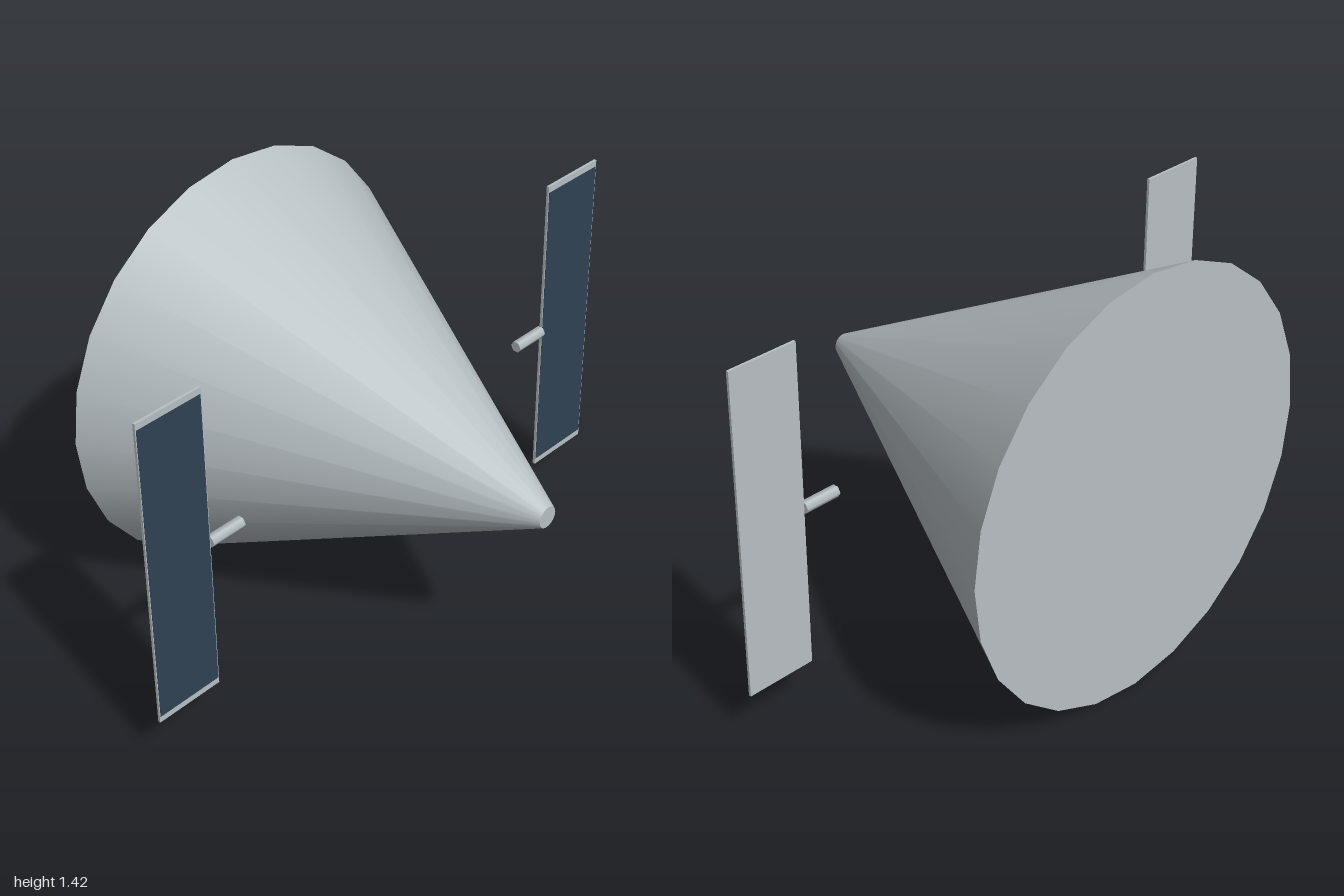
import * as THREE from 'three';

export function createModel() {
  const model = new THREE.Group();
  model.name = 'conicalSatellite';
  const hull = new THREE.MeshStandardMaterial({ name: 'hull grey', color: 0xb8c0c4 });
  const cells = new THREE.MeshStandardMaterial({ name: 'solar blue', color: 0x304154 });
  const midY = 0.716;

  function add(name, geometry, material, x, y, z) {
    const mesh = new THREE.Mesh(geometry, material);
    mesh.name = name;
    mesh.position.set(x, y, z);
    model.add(mesh);
  }

  // Blunt cone with its narrow end facing forward
  const cone = new THREE.CylinderGeometry(0.036, 0.712, 1.3, 24);
  cone.rotateX(Math.PI / 2);
  add('coneBody', cone, hull, 0, midY, 0);

  // Strut and solar wing on each side
  const strut = new THREE.CylinderGeometry(0.02, 0.02, 0.128, 6).rotateZ(Math.PI / 2);
  const frame = new THREE.BoxGeometry(0.243, 1.102, 0.009);
  const cellPlate = new THREE.BoxGeometry(0.237, 1.058, 0.002);
  for (const [label, side] of [['left', 1], ['right', -1]]) {
    add(label + 'Strut', strut, hull, side * 0.693, midY, 0);
    add(label + 'PanelFrame', frame, hull, side * 0.8785, midY, 0);
    add(label + 'SolarCells', cellPlate, cells, side * 0.8785, midY, 0.0045);
  }

  return model;
}
